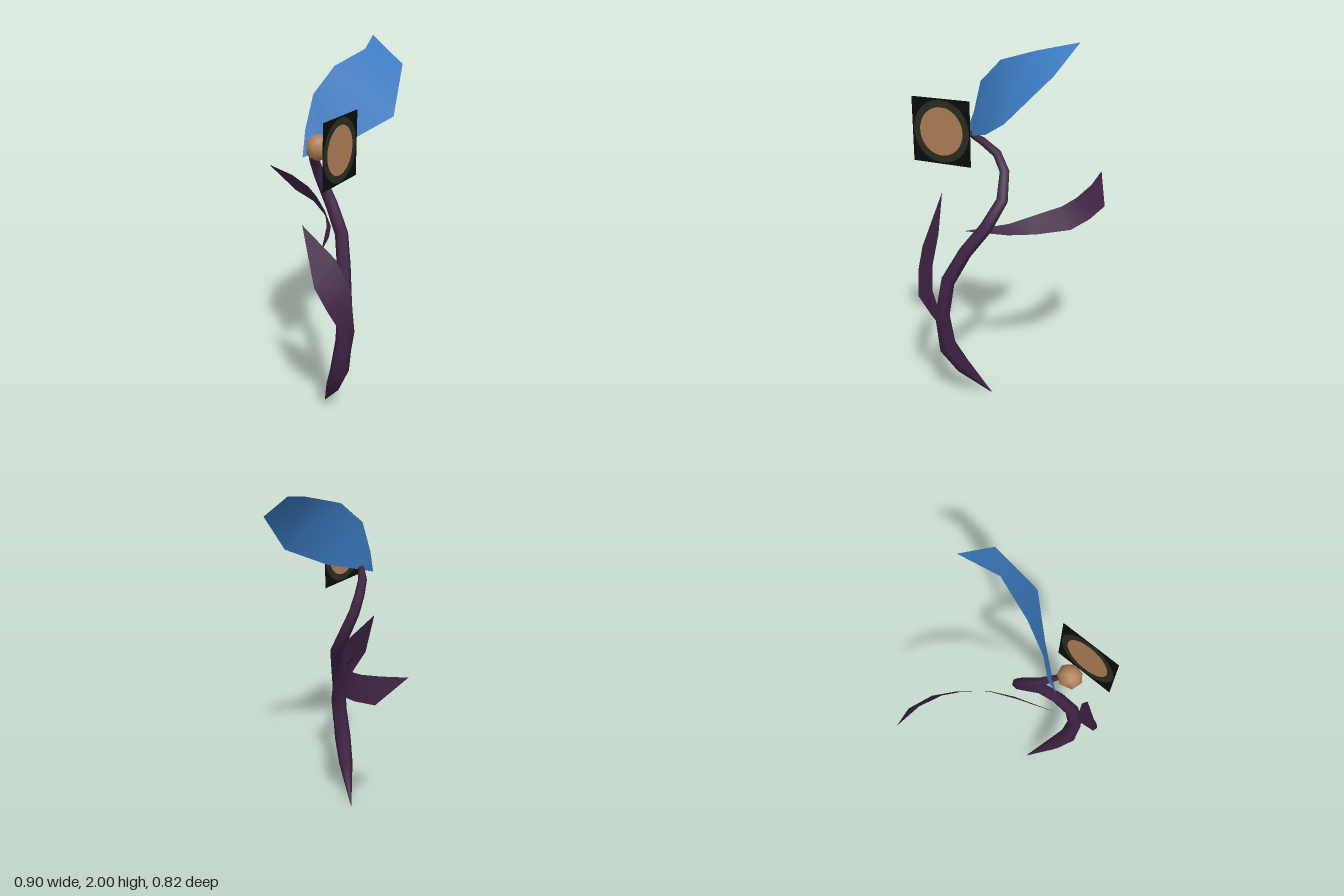
import * as THREE from 'three';

const mat = (name, color, side = THREE.DoubleSide) => {
  const m = new THREE.MeshStandardMaterial({ color, side });
  m.name = name;
  return m;
};

const V = (p) => new THREE.Vector3(...p);

function geometryFrom(positions, index) {
  const g = new THREE.BufferGeometry();
  g.setAttribute('position', new THREE.Float32BufferAttribute(positions, 3));
  g.setIndex(index);
  g.computeVertexNormals();
  return g;
}

// Tapered tube through stations [x, y, z, radius]
function taperedTube(stations, sides) {
  const pos = [], idx = [];
  const pts = stations.map((s) => V(s.slice(0, 3)));
  pts.forEach((p, i) => {
    const t = pts[Math.min(i + 1, pts.length - 1)].clone().sub(pts[Math.max(i - 1, 0)]).normalize();
    const u = t.clone().cross(new THREE.Vector3(1, 0, 0)).normalize();
    const v = t.clone().cross(u);
    for (let j = 0; j < sides; j++) {
      const a = (j / sides) * Math.PI * 2, r = stations[i][3];
      const q = p.clone().addScaledVector(u, Math.cos(a) * r).addScaledVector(v, Math.sin(a) * r);
      pos.push(q.x, q.y, q.z);
      if (i < pts.length - 1) {
        const k = (j + 1) % sides, n = i * sides;
        idx.push(n + j, n + k, n + sides + k, n + j, n + sides + k, n + sides + j);
      }
    }
  });
  return geometryFrom(pos, idx);
}

// Thin blade: a base point, paired edge points, and a tip
function blade(base, edgeA, edgeB, tip) {
  const pos = [...base], idx = [0, 1, 2];
  edgeA.forEach((a, i) => {
    pos.push(...a, ...edgeB[i]);
    const n = 1 + i * 2;
    if (i < edgeA.length - 1) idx.push(n, n + 2, n + 1, n + 1, n + 2, n + 3);
    else idx.push(n, n + 2, n + 1);
  });
  pos.push(...tip);
  return geometryFrom(pos, idx);
}

export function createModel() {
  const group = new THREE.Group();
  group.name = 'flower';
  const purple = mat('stemPurple', 0x3f2344);
  const blue = mat('petalBlue', 0x3d7dc4);
  const tan = mat('tan', 0xb08058);
  const black = mat('panelBlack', 0x0a0c0b);
  const olive = mat('ringOlive', 0x2a2d20);

  const add = (name, geometry, material, parent = group) => {
    const m = new THREE.Mesh(geometry, material);
    m.name = name;
    parent.add(m);
    return m;
  };

  // Curving stem, pointed at the foot
  add('stem', taperedTube([
    [0.18, 0, 0.07, 0.002],
    [0.30, 0.21, 0.185, 0.042],
    [0.362, 0.35, 0.24, 0.05],
    [0.39, 0.55, 0.25, 0.043],
    [0.37, 0.75, 0.22, 0.04],
    [0.32, 0.91, 0.14, 0.036],
    [0.255, 1.04, 0.05, 0.035],
    [0.165, 1.17, 0.0, 0.033],
    [0.105, 1.31, 0.015, 0.029],
    [0.1, 1.4, 0.06, 0.027],
    [0.128, 1.465, 0.13, 0.024],
    [0.19, 1.53, 0.2, 0.014],
  ], 6), purple);

  // Long leaf sweeping back
  add('longLeaf', blade(
    [0.22, 0.985, 0.2],
    [[0.14, 0.97, -0.02], [0.075, 0.975, -0.155], [-0.055, 0.98, -0.3], [-0.165, 1.016, -0.367], [-0.31, 1.05, -0.4]],
    [[0.125, 1.03, -0.02], [0.05, 1.07, -0.13], [-0.07, 1.1, -0.24], [-0.155, 1.13, -0.29], [-0.29, 1.17, -0.325]],
    [-0.45, 1.207, -0.325]), purple);

  // Upright leaf at the front
  add('frontLeaf', blade(
    [0.41, 0.45, 0.21],
    [[0.44, 0.57, 0.29], [0.432, 0.66, 0.37], [0.37, 0.78, 0.403], [0.305, 0.89, 0.413]],
    [[0.442, 0.6, 0.235], [0.448, 0.72, 0.27], [0.435, 0.85, 0.272], [0.35, 1.0, 0.28]],
    [0.195, 1.175, 0.345]), purple);

  // Single broad petal
  add('petal', blade(
    [0.13, 1.48, 0.235],
    [[0.115, 1.61, 0.185], [0.13, 1.775, 0.135], [0.17, 1.895, 0], [0.23, 1.957, -0.21]],
    [[0.2, 1.51, 0.14], [0.29, 1.545, 0.025], [0.432, 1.645, -0.148], [0.37, 1.87, -0.365]],
    [0.17, 2.0, -0.412]), blue);

  // Faceted ball at the end of the stem
  const ball = add('flowerCentre', new THREE.SphereGeometry(0.066, 7, 6), tan);
  ball.scale.x = 0.9;
  ball.rotation.x = 0.5;
  ball.position.set(0.22, 1.545, 0.24);

  // Flat square panel with a ringed disc, facing sideways
  const panel = new THREE.Group();
  panel.name = 'eyePanel';
  const half = 0.165, outer = 0.158, inner = 0.122;
  const square = new THREE.Shape([[-1, -1], [1, -1], [1, 1], [-1, 1]].map(([x, y]) => new THREE.Vector2(x * half, y * half)));
  square.holes.push(new THREE.Path().absarc(0, 0, outer, 0, Math.PI * 2, true));
  add('panelFrame', new THREE.ShapeGeometry(square, 24), black, panel);
  add('panelRing', new THREE.RingGeometry(inner, outer, 48), olive, panel);
  add('panelDisc', new THREE.CircleGeometry(inner, 48), tan, panel);
  panel.rotation.y = Math.PI / 2;
  panel.position.set(0.345, 1.55, 0.245);
  group.add(panel);

  return group;
}
